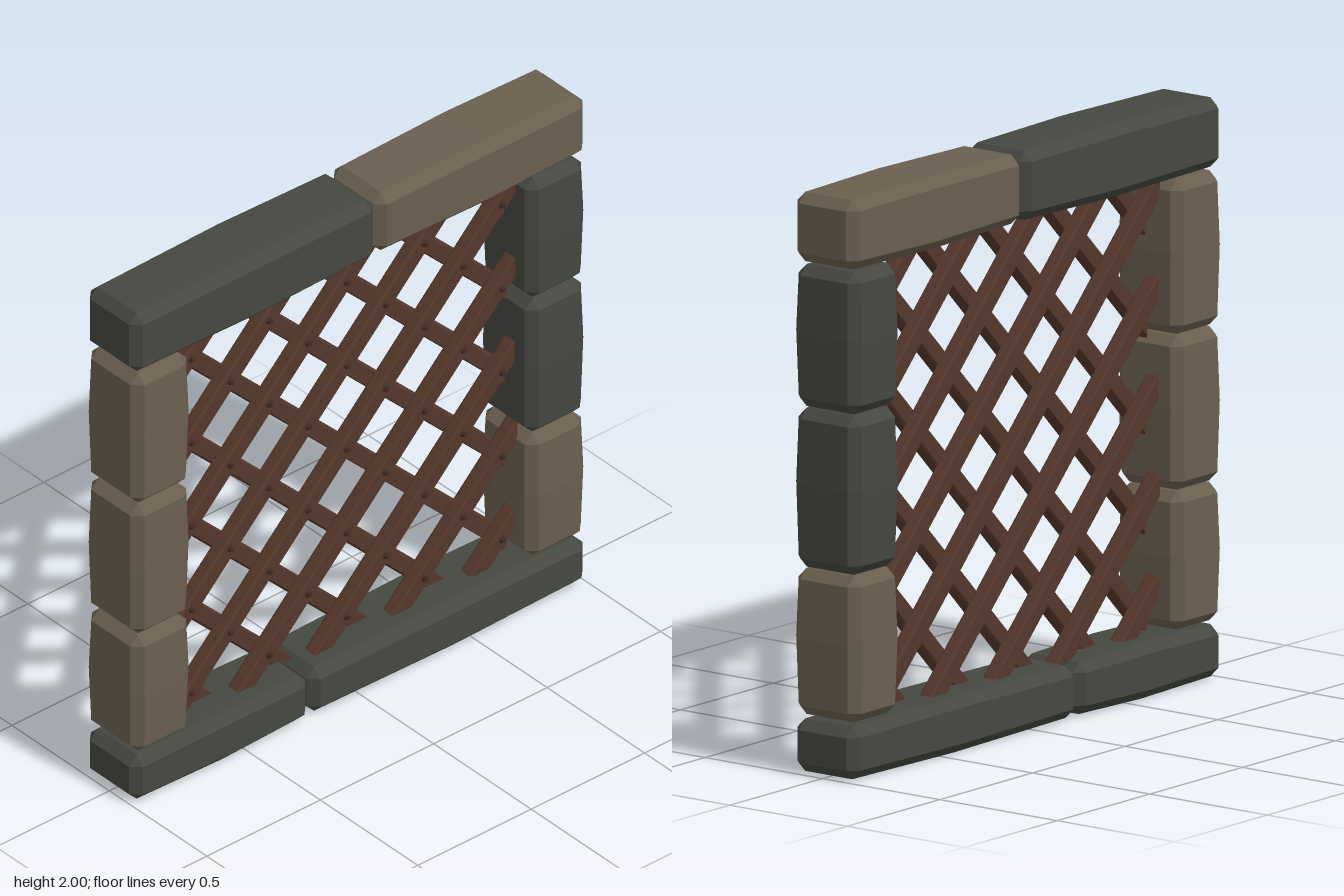
import * as THREE from 'three';
import { ConvexGeometry } from 'three/addons/geometries/ConvexGeometry.js';

const brownStone = new THREE.MeshStandardMaterial({ name: 'brownStone', color: 0x6a5f4f });
const darkStone = new THREE.MeshStandardMaterial({ name: 'darkStone', color: 0x454741 });
const wood = new THREE.MeshStandardMaterial({ name: 'wood', color: 0x54372b });
const iron = new THREE.MeshStandardMaterial({ name: 'iron', color: 0x3d2a22 });

// Chamfered stone block, slightly fuller across the middle of its length
function stoneBlock(name, material, x0, x1, y0, y1) {
  const half = [(x1 - x0) / 2, (y1 - y0) / 2, 0.134];
  const long = half[0] > half[1] ? 0 : 1;
  const c = 0.034;
  const bulge = 0.006;
  half[1 - long] -= bulge;
  const points = [];
  const signs = [-1, 1];
  for (const sx of signs) for (const sy of signs) for (const sz of signs) {
    const s = [sx, sy, sz];
    for (let axis = 0; axis < 3; axis++) {
      const p = s.map((v, i) => v * (half[i] - (i === axis ? 0 : c)));
      points.push(new THREE.Vector3(...p));
      // Middle ring
      if (axis !== long) {
        const m = p.map((v, i) => v + s[i] * bulge);
        m[long] = half[long] * 0.06;
        points.push(new THREE.Vector3(...m));
      }
    }
  }
  const mesh = new THREE.Mesh(new ConvexGeometry(points), material);
  mesh.name = name;
  mesh.position.set((x0 + x1) / 2, (y0 + y1) / 2, 0);
  return mesh;
}

// Keep the part of a polygon where inside(p) >= 0
function clip(poly, inside) {
  const out = [];
  poly.forEach((a, i) => {
    const b = poly[(i + 1) % poly.length];
    const da = inside(a), db = inside(b);
    if (da >= 0) out.push(a);
    if (da * db < 0) out.push(a.clone().lerp(b, da / (da - db)));
  });
  return out;
}

const SIDE = 0.757, BOTTOM = 0.165, TOP = 1.775;
const STEP = 0.342, START = 0.283, DEPTH = 0.055;

// Diagonal slat trimmed to the frame opening; slope is +1 or -1
function slat(slope, offset, z) {
  const w = 0.032 * Math.SQRT2;
  let poly = [[-1, -w], [1, -w], [1, w], [-1, w]]
    .map(([x, d]) => new THREE.Vector2(x, slope * x + offset + d));
  poly = clip(poly, p => p.x + SIDE);
  poly = clip(poly, p => SIDE - p.x);
  poly = clip(poly, p => p.y - BOTTOM);
  poly = clip(poly, p => TOP - p.y);
  if (poly.length < 3) return null;
  const bevel = 0.007;
  const geometry = new THREE.ExtrudeGeometry(new THREE.Shape(poly), {
    depth: DEPTH - 2 * bevel, bevelEnabled: true, bevelSegments: 1,
    bevelSize: bevel, bevelThickness: bevel, bevelOffset: -bevel,
  });
  const mesh = new THREE.Mesh(geometry, wood);
  mesh.name = slope > 0 ? 'frontSlat' : 'backSlat';
  mesh.position.z = z + bevel;
  return mesh;
}

export function createModel() {
  const model = new THREE.Group();
  model.name = 'stoneFramedLattice';

  // Stone frame
  const frame = new THREE.Group();
  frame.name = 'stoneFrame';
  [
    ['topStone', darkStone, -1, 0.072, 1.75, 2],
    ['topStone', brownStone, 0.075, 1, 1.75, 2],
    ['bottomStone', darkStone, -1, -0.222, 0, 0.192],
    ['bottomStone', darkStone, -0.218, 1, 0, 0.192],
    ['rightStone', brownStone, -1, -0.742, 1.215, 1.745],
    ['rightStone', brownStone, -1, -0.742, 0.68, 1.21],
    ['rightStone', brownStone, -1, -0.742, 0.2, 0.675],
    ['leftStone', darkStone, 0.738, 0.998, 1.257, 1.745],
    ['leftStone', darkStone, 0.738, 0.998, 0.706, 1.252],
    ['leftStone', brownStone, 0.738, 0.998, 0.2, 0.702],
  ].forEach(args => frame.add(stoneBlock(...args)));
  model.add(frame);

  // Two layers of crossing slats
  const lattice = new THREE.Group();
  lattice.name = 'lattice';
  for (let k = -2; k <= 6; k++) {
    const offset = START + STEP * k;
    for (const bar of [slat(1, offset, 0), slat(-1, offset, -DEPTH)]) if (bar) lattice.add(bar);
  }
  model.add(lattice);

  // Nail heads where the slats cross
  const nails = new THREE.Group();
  nails.name = 'nails';
  const nailGeometry = new THREE.CylinderGeometry(0.008, 0.014, 0.012, 8).rotateX(Math.PI / 2);
  for (let row = 0; row <= 8; row++) {
    for (let col = -4; col <= 4; col++) {
      if ((row + col) % 2) continue;
      const nail = new THREE.Mesh(nailGeometry, iron);
      nail.name = 'nail';
      nail.position.set(col * STEP / 2, START + row * STEP / 2, DEPTH + 0.005);
      nails.add(nail);
    }
  }
  model.add(nails);
  return model;
}
